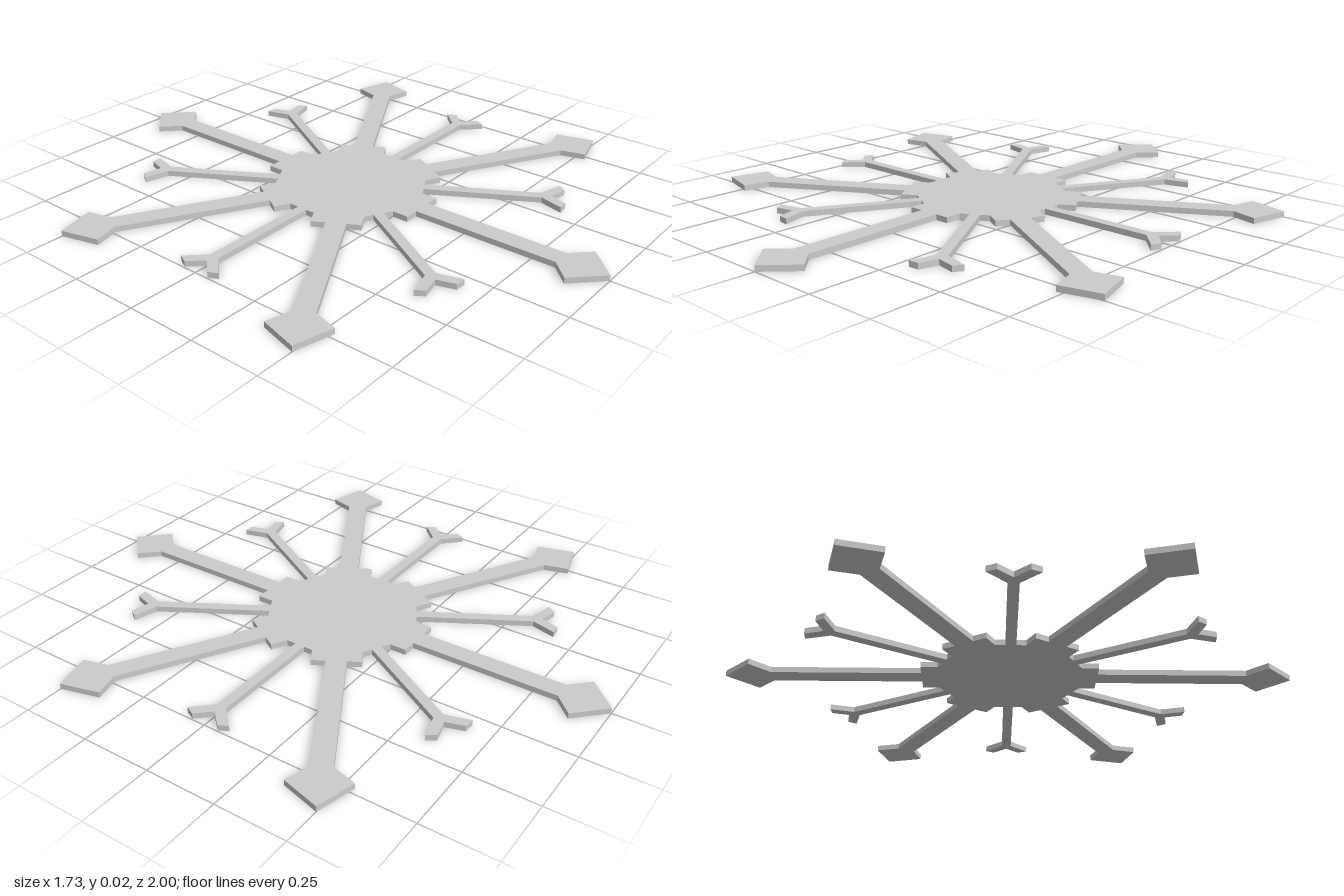
import * as THREE from 'three';

const THICKNESS = 0.02;

// Half outlines as [distance along the arm, sideways offset], from hub to tip
const MAIN_ARM = [[0.251, 0.085], [0.31, 0.085], [0.31, 0.035], [0.835, 0.035], [0.9, 0.1], [1, 0]];
const FORKED_ARM = [[0.26, 0.018], [0.667, 0.018], [0.73, 0.083], [0.746, 0.05], [0.7, 0]];

// Full arm outline: out along one side, back along the mirrored side, turned to the given angle
function armOutline(half, angle) {
  const out = half.map(([u, v]) => new THREE.Vector2(u, -v));
  const back = half.slice(0, -1).reverse().map(([u, v]) => new THREE.Vector2(u, v));
  return [...out, ...back].map((p) => p.rotateAround(new THREE.Vector2(), angle));
}

export function createModel() {
  const group = new THREE.Group();
  group.name = 'snowflake';

  // Six diamond-tipped arms alternate with six forked arms; the edges between them form the hexagonal hub
  const outline = [];
  for (let i = 0; i < 6; i++) {
    const angle = Math.PI / 2 + (i * Math.PI) / 3;
    outline.push(...armOutline(MAIN_ARM, angle), ...armOutline(FORKED_ARM, angle + Math.PI / 6));
  }

  // Flat plate lying on the ground
  const geometry = new THREE.ExtrudeGeometry(new THREE.Shape(outline), { depth: THICKNESS, bevelEnabled: false });
  geometry.rotateX(-Math.PI / 2);
  const plate = new THREE.Mesh(geometry, new THREE.MeshStandardMaterial({ color: 0xcccccc, flatShading: true }));
  plate.name = 'snowflakePlate';
  group.add(plate);
  return group;
}
